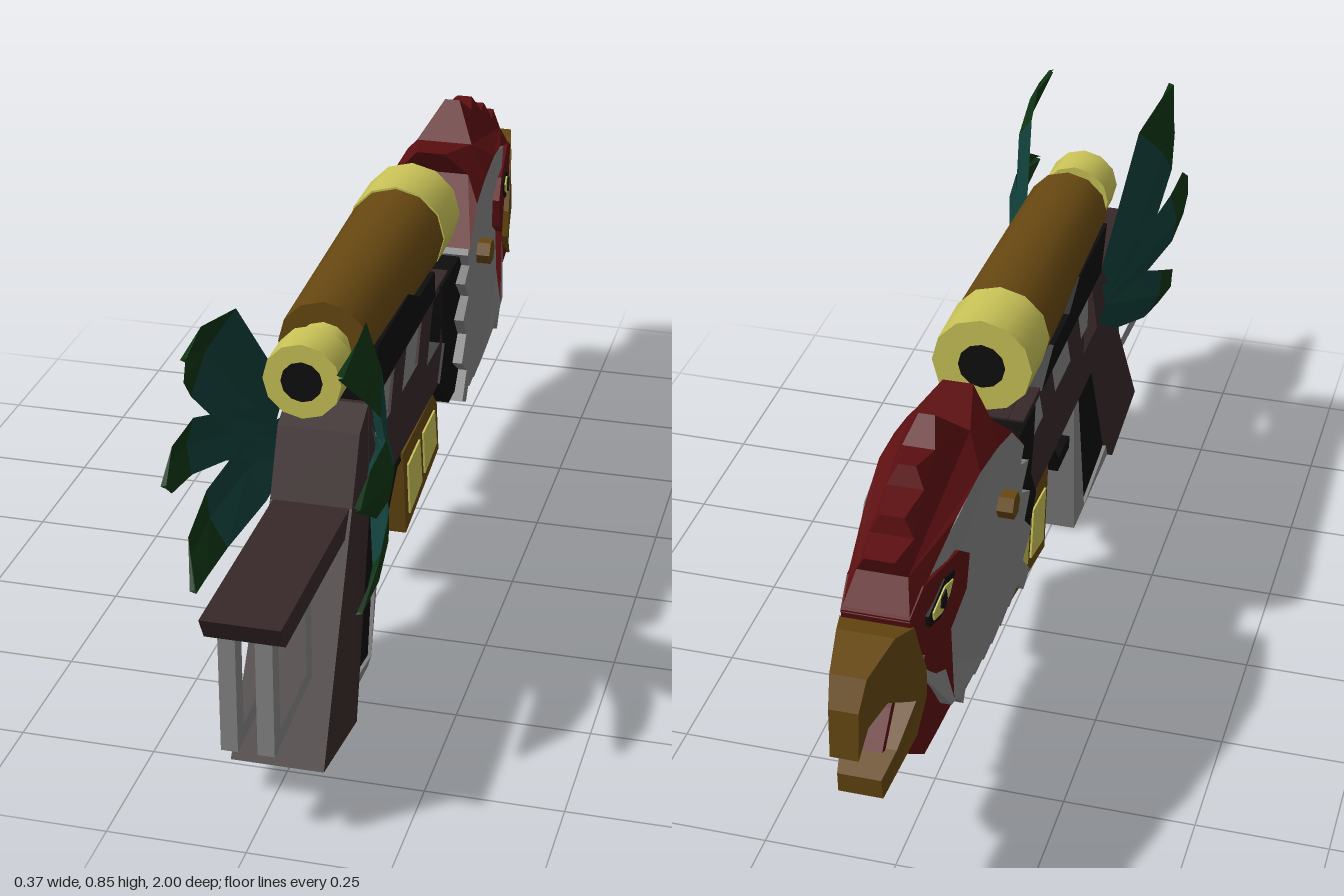
import * as THREE from 'three';
import { toCreasedNormals } from 'three/addons/utils/BufferGeometryUtils.js';

const mat = (name, color, side = THREE.FrontSide) => {
  const m = new THREE.MeshStandardMaterial({ color, side });
  m.name = name;
  return m;
};

export function createModel() {
  const root = new THREE.Group();
  const brown = mat('dark brown', 0x38292a), black = mat('black', 0x0e0e0e), gray = mat('gray', 0x848484);
  const red = mat('red', 0x5c0f11), gold = mat('bronze', 0x664711), yellow = mat('pale yellow', 0xc8c257);
  const teal = mat('teal', 0x113f39, THREE.DoubleSide), green = mat('dark green', 0x0f3413, THREE.DoubleSide);

  const add = (name, geo, material) => {
    const m = new THREE.Mesh(geo, material);
    m.name = name;
    root.add(m);
    return m;
  };
  const val = (f, z, y) => (typeof f === 'function' ? f(z, y) : f);
  const path = (pts) => pts.map(([z, y]) => new THREE.Vector2(-z, y));

  // Solid from a [z, y] outline, spanning x from lo to hi (numbers or rules)
  function prism(name, pts, material, hi, lo = (z, y) => -val(hi, z, y), holes = []) {
    const shape = new THREE.Shape(path(pts));
    holes.forEach((h) => shape.holes.push(new THREE.Path(path(h))));
    const geo = new THREE.ExtrudeGeometry(shape, { depth: 1, bevelEnabled: false });
    geo.rotateY(Math.PI / 2);
    const p = geo.attributes.position;
    for (let i = 0; i < p.count; i++) {
      p.setX(i, val(p.getX(i) > 0.5 ? hi : lo, p.getZ(i), p.getY(i)));
    }
    geo.computeVertexNormals();
    return add(name, geo, material);
  }
  // Mirrored pair of side plates, outer face at w, thickness t
  function plates(name, pts, material, w, t, holes) {
    prism(name + 'Left', pts, material, w, (z, y) => val(w, z, y) - t, holes);
    prism(name + 'Right', pts, material, (z, y) => t - val(w, z, y), (z, y) => -val(w, z, y), holes);
  }
  // Tube along z between z0 and z1
  function barrel(name, z0, z1, r0, r1, y, material, sides = 12) {
    const g = new THREE.CylinderGeometry(r1, r0, z1 - z0, sides).rotateX(Math.PI / 2);
    g.translate(0, y, (z0 + z1) / 2);
    return add(name, toCreasedNormals(g, 0.7), material);
  }

  // Receiver with three slanted windows over a gray core
  const windows = [[0.44, 0.29], [0.235, 0.08], [0.02, -0.115]].map(([a, b]) =>
    [[a, 0.47], [a - 0.05, 0.585], [b - 0.015, 0.585], [b + 0.03, 0.47]]);
  const rail = [[0.46, 0.6], [-0.15, 0.6], [-0.09, 0.385], [0.47, 0.385]];
  prism('receiverCore', rail, brown, 0.045);
  prism('windowBacking', [[0.46, 0.595], [-0.14, 0.595], [-0.1, 0.46], [0.46, 0.46]], gray, 0.052);
  plates('receiverSide', rail, brown, 0.076, 0.03, windows);

  // Rear grip flares on one side at its foot
  const flare = (z, y) => 0.075 + (y < 0.2 ? 0.018 : 0);
  prism('rearGrip', [[0.46, 0.6], [0.455, 0.385], [0.62, 0.04], [0.84, 0.075], [0.575, 0.45], [0.52, 0.57]],
    brown, flare, -0.075);
  prism('gripPanel', [[0.48, 0.39], [0.31, 0.39], [0.4, 0.035], [0.63, 0.08]], black, 0.057);
  prism('gripRim', [[0.33, 0.39], [0.295, 0.39], [0.375, 0.003], [0.64, 0.042], [0.62, 0.075], [0.405, 0.045]],
    gray, (z, y) => (y < 0.02 ? 0.05 : 0.064));

  // Folding stock: cap and two open frames
  prism('stockCap', [[1, 0.45], [0.56, 0.45], [0.56, 0.405], [0.975, 0.405]], brown, 0.07);
  plates('stockFrame', [[0.975, 0.41], [0.745, 0.41], [0.745, 0.205], [0.975, 0.187]], gray, 0.047, 0.03,
    [[[0.94, 0.4], [0.78, 0.4], [0.78, 0.23], [0.94, 0.222]]]);

  // Underside, trigger guard and trigger
  prism('underBody', [[0.3, 0.39], [-0.25, 0.39], [-0.25, 0.3], [0.15, 0.312], [0.225, 0.245], [0.32, 0.245],
    [0.32, 0.272], [0.23, 0.275], [0.17, 0.345], [0.3, 0.375]], black, 0.05);
  prism('trigger', [[0.31, 0.385], [0.23, 0.385], [0.3, 0.29], [0.315, 0.295]], gold, 0.02);
  prism('neck', [[-0.08, 0.595], [-0.34, 0.595], [-0.34, 0.31], [-0.15, 0.31], [-0.07, 0.39], [-0.11, 0.46], [-0.09, 0.53]],
    black, 0.081);

  // Magazine with two inset panels and small feet
  prism('magazine', [[0.125, 0.33], [-0.15, 0.34], [-0.175, 0.19], [0.1, 0.142]], gold, 0.055);
  plates('magazinePanelRear', [[0.095, 0.29], [0, 0.298], [-0.02, 0.195], [0.078, 0.175]], yellow, 0.059, 0.008);
  plates('magazinePanelFront', [[-0.03, 0.298], [-0.125, 0.302], [-0.145, 0.218], [-0.045, 0.2]], yellow, 0.059, 0.008);
  for (const z of [0.055, -0.035, -0.13]) {
    const y = 0.15 - (z - 0.055) * 0.175;
    prism('magazineFoot', [[z + 0.015, y + 0.01], [z - 0.015, y + 0.015], [z - 0.012, y - 0.012], [z + 0.012, y - 0.015]],
      gold, 0.045);
  }

  // Scope and mount
  prism('scopeMount', [[0.45, 0.595], [0.45, 0.71], [0.22, 0.71], [0.14, 0.67], [0.02, 0.67], [-0.03, 0.595]], black,
    (z, y) => (y > 0.62 ? 0.09 : 0.08));
  barrel('scopeTube', -0.04, 0.48, 0.094, 0.083, 0.715, gold);
  barrel('scopeFront', -0.165, -0.035, 0.096, 0.096, 0.717, yellow);
  barrel('scopeNeck', 0.48, 0.55, 0.05, 0.05, 0.71, yellow);
  barrel('eyepiece', 0.54, 0.62, 0.07, 0.07, 0.71, yellow);
  barrel('eyepieceLens', 0.615, 0.623, 0.037, 0.037, 0.71, black);
  barrel('frontLens', -0.168, -0.16, 0.045, 0.045, 0.717, black);

  // Bird head: gray ruff with a jagged collar and underside
  const ruffW = (z) => 0.1 + 0.038 * (z + 0.2);
  const crown = [[-0.23, 0.6], [-0.31, 0.68], [-0.4, 0.7], [-0.5, 0.71], [-0.61, 0.69], [-0.76, 0.64]];
  const ruff = [...crown, [-0.76, 0.46], [-0.66, 0.32]];
  for (let i = 0; i < 8; i++) {
    const z = -0.63 + i * 0.052, dip = 0.3 - Math.sin((i / 7) * Math.PI) * 0.02;
    ruff.push([z, dip + 0.012], [z + 0.035, dip - 0.025]);
  }
  ruff.push([-0.19, 0.295], [-0.235, 0.345], [-0.18, 0.385], [-0.225, 0.43], [-0.19, 0.475],
    [-0.245, 0.505], [-0.2, 0.55], [-0.25, 0.57]);
  prism('ruff', ruff, gray, (z, y) => (z < -0.7 ? 0.058 : ruffW(z) - (y < 0.27 ? 0.012 : 0)));

  // Crest narrows from the crown line to its spikes
  const crownY = (z) => {
    for (let i = 1; i < crown.length; i++) {
      const [a, ya] = crown[i - 1], [b, yb] = crown[i];
      if (z >= b) return ya + ((yb - ya) * (z - a)) / (b - a);
    }
    return 0.63;
  };
  const crestW = (z, y) => Math.max(0.015,
    (Math.min(ruffW(z), 0.09 + 0.1 * (z + 0.5)) + 0.003) * (1 - Math.max(0, y - crownY(z)) / 0.13));
  prism('crest', [...crown.slice(1), [-0.82, 0.61], [-0.775, 0.67], [-0.79, 0.705], [-0.72, 0.71], [-0.715, 0.745],
    [-0.64, 0.755], [-0.625, 0.79], [-0.56, 0.785], [-0.51, 0.822], [-0.44, 0.755], [-0.32, 0.775], [-0.35, 0.725],
    [-0.24, 0.61]], red, crestW);

  // Face and wattle
  const faceW = (z) => 0.091 + 0.12 * (z + 0.565);
  prism('face', [[-0.565, 0.585], [-0.61, 0.62], [-0.76, 0.645], [-0.82, 0.615], [-0.79, 0.5], [-0.81, 0.375],
    [-0.78, 0.295], [-0.715, 0.245], [-0.655, 0.255], [-0.64, 0.32], [-0.65, 0.48], [-0.58, 0.52]], red,
  (z, y) => faceW(z) - (y < 0.3 ? 0.025 : 0));

  // Eyes
  const raise = (d) => (z) => faceW(z) + d;
  plates('eyeRim', [[-0.635, 0.597], [-0.68, 0.607], [-0.75, 0.575], [-0.745, 0.55], [-0.7, 0.54], [-0.655, 0.56]],
    black, raise(0.003), 0.008);
  plates('eye', [[-0.65, 0.588], [-0.685, 0.595], [-0.735, 0.573], [-0.733, 0.557], [-0.7, 0.55], [-0.665, 0.567]],
    yellow, raise(0.006), 0.008);
  plates('pupil', [[-0.688, 0.593], [-0.703, 0.587], [-0.708, 0.565], [-0.695, 0.556], [-0.683, 0.57]],
    black, raise(0.009), 0.008);

  // Open hooked beak and tongue
  prism('beak', [[-0.81, 0.595], [-0.87, 0.613], [-0.965, 0.595], [-0.995, 0.545], [-1, 0.45], [-0.965, 0.495],
    [-0.9, 0.5], [-0.84, 0.46], [-0.81, 0.44], [-0.875, 0.38], [-0.93, 0.355], [-0.925, 0.313], [-0.81, 0.365],
    [-0.765, 0.42], [-0.765, 0.48], [-0.79, 0.54]], gold,
  (z) => (z > -0.85 ? faceW(z) + 0.004 : 0.055 + 0.2 * (z + 0.85)));
  prism('tongue', [[-0.79, 0.47], [-0.84, 0.44], [-0.895, 0.385], [-0.87, 0.375], [-0.79, 0.42]], red, 0.03);

  // Hinge peg through the head
  const peg = new THREE.CylinderGeometry(0.026, 0.026, 0.24, 6).toNonIndexed();
  peg.computeVertexNormals();
  peg.rotateZ(Math.PI / 2).translate(0, 0.557, -0.362);
  add('hingePeg', peg, gold);

  // Fanned tail feathers; rows are [upper z, upper y, lower z, lower y], bowed outwards
  const bow = (z, y) => 0.08 + 0.1 * Math.sin((Math.PI * (z - 0.46)) / 0.6)
    - (y > 0.55 ? 0.5 : 1.2) * (y - 0.55) ** 2;
  const feathers = [
    [[0.46, 0.6, 0.48, 0.5], [0.5, 0.68, 0.59, 0.58], [0.62, 0.835, 0.72, 0.71], [0.75, 0.857, 0.78, 0.765], [0.85, 0.845, 0.85, 0.838]],
    [[0.47, 0.58, 0.48, 0.48], [0.58, 0.62, 0.6, 0.53], [0.7, 0.66, 0.7, 0.55], [0.81, 0.66, 0.8, 0.565], [0.875, 0.622, 0.875, 0.615]],
    [[0.46, 0.56, 0.46, 0.47], [0.55, 0.55, 0.53, 0.42], [0.66, 0.5, 0.65, 0.385], [0.75, 0.455, 0.74, 0.373], [0.8, 0.382, 0.8, 0.375]],
  ];
  function vane(name, rows, side, material) {
    const pos = [];
    const lines = rows.map(([za, ya, zb, yb]) => [0, 0.5, 1].map((t) => {
      const z = za + (zb - za) * t, y = ya + (yb - ya) * t;
      return [side * (bow(z, y) + (t === 0.5 ? 0.01 : 0)), y, z];
    }));
    for (let i = 0; i + 1 < lines.length; i++) {
      for (let j = 0; j < 2; j++) {
        const a = lines[i][j], b = lines[i + 1][j], c = lines[i + 1][j + 1], d = lines[i][j + 1];
        const quad = side > 0 ? [a, d, c, a, c, b] : [a, c, d, a, b, c];
        quad.forEach((p) => pos.push(...p));
      }
    }
    const geo = new THREE.BufferGeometry();
    geo.setAttribute('position', new THREE.Float32BufferAttribute(pos, 3));
    geo.computeVertexNormals();
    add(name, geo, material);
  }
  for (const side of [1, -1]) {
    for (const rows of feathers) {
      vane('featherBase', rows.slice(0, 3), side, teal);
      vane('featherTip', rows.slice(2), side, green);
    }
  }
  return root;
}
